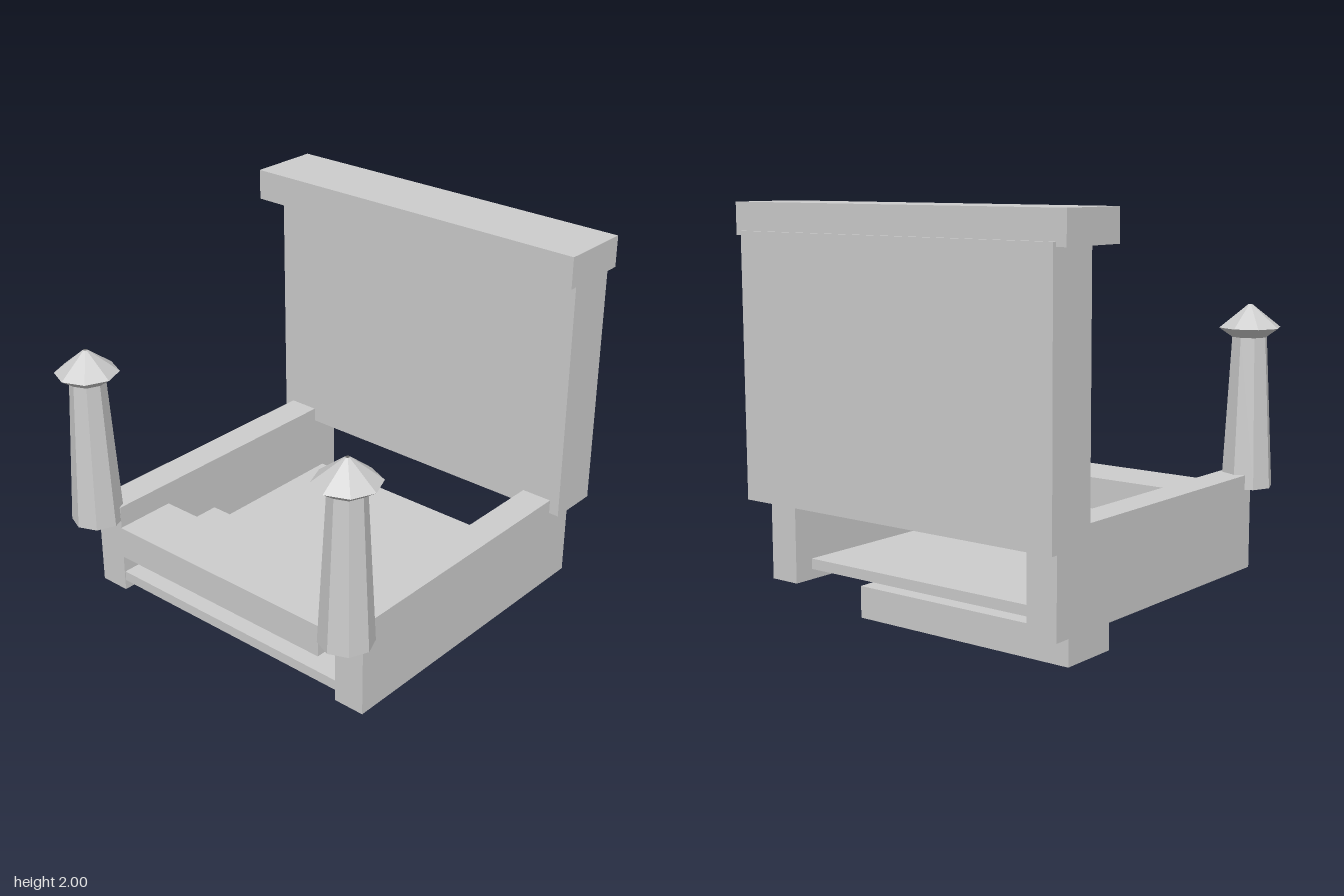
import * as THREE from 'three';

export function createModel() {
  const model = new THREE.Group();
  const stone = new THREE.MeshStandardMaterial({ color: 0xcccccc, flatShading: true, side: THREE.DoubleSide });
  stone.name = 'pale grey';

  // box given by its lower and upper limits on each axis
  const box = (name, [x0, x1], [y0, y1], [z0, z1]) => {
    const mesh = new THREE.Mesh(new THREE.BoxGeometry(x1 - x0, y1 - y0, z1 - z0), stone);
    mesh.position.set((x0 + x1) / 2, (y0 + y1) / 2, (z0 + z1) / 2);
    mesh.name = name;
    model.add(mesh);
  };

  // tall back wall with an overhanging beam
  box('backPanel', [-0.88, 0.88], [0.63, 1.87], [-0.93, -0.67]);
  box('topBeam', [-0.93, 0.93], [1.85, 2], [-0.91, -0.55]);

  // thin floor between the side walls
  box('floor', [-0.675, 0.675], [0.29, 0.34], [-0.73, 0.725]);

  // four steps descending from front to back
  for (let i = 0; i < 4; i++) {
    const y = i * 0.158, z = -0.46 + i * 0.31;
    box('step' + (i + 1), [-0.62, 0.62], [y, y + 0.158], [z, z + 0.31]);
  }

  // eight-sided post: tapered shaft, flared eave and pointed roof, open below
  const profile = [[0.125, 0.63], [0.085, 1.355], [0.15, 1.4], [0.01, 1.51]]
    .map(([r, y]) => new THREE.Vector2(r, y));
  const postGeometry = new THREE.LatheGeometry(profile, 8);

  for (const side of [-1, 1]) {
    const label = side > 0 ? 'left' : 'right';
    const xs = [0.675 * side, 0.83 * side].sort((a, b) => a - b);
    box(label + 'SideWall', xs, [0.24, 0.7], [-0.83, 0.73]);
    const post = new THREE.Mesh(postGeometry, stone);
    post.position.set(0.78 * side, 0, 0.78);
    post.name = label + 'Post';
    model.add(post);
  }
  return model;
}
